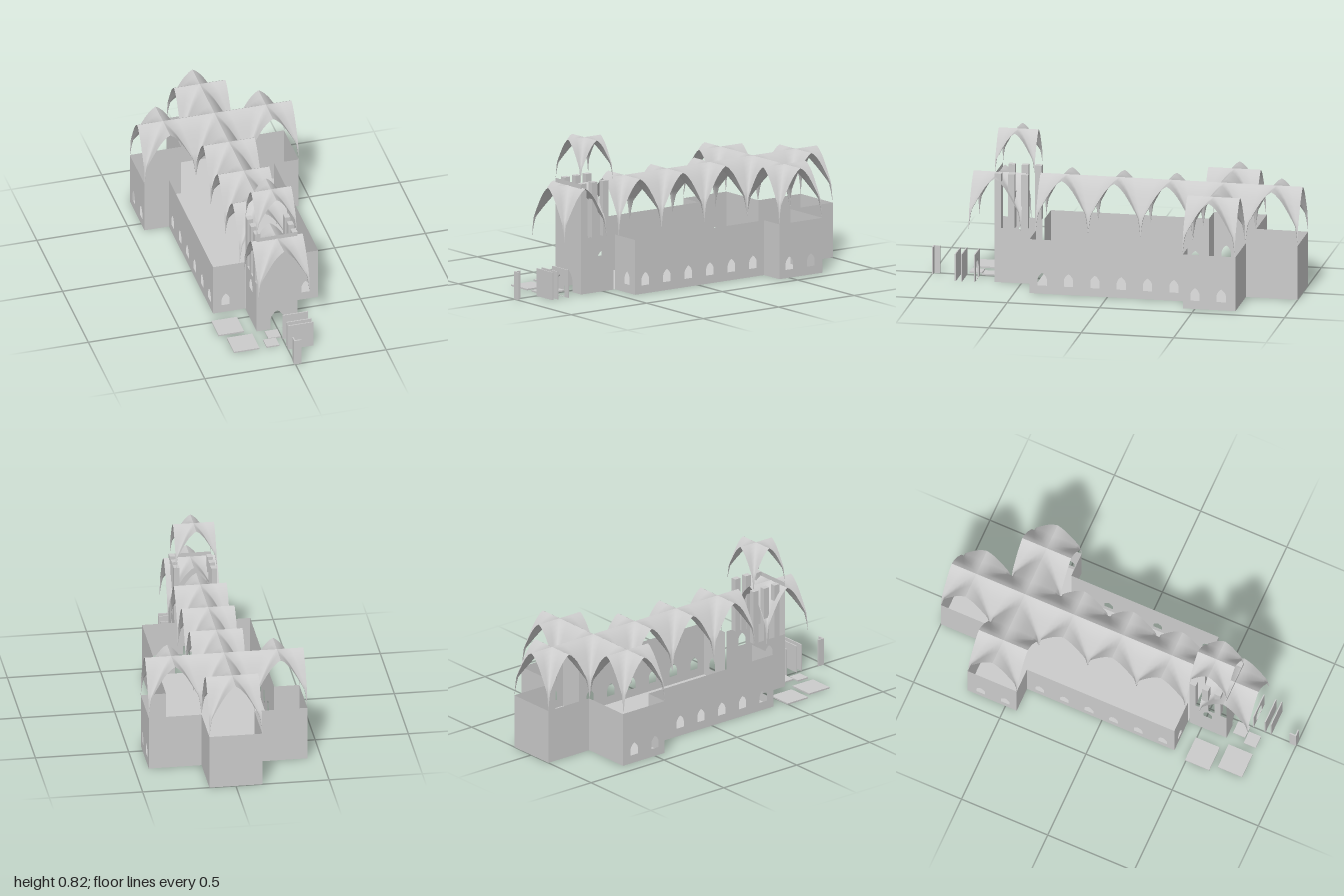
import * as THREE from 'three';

const mat = new THREE.MeshStandardMaterial({ color: 0xcccccc, side: THREE.DoubleSide });

function add(parent, name, geo, x = 0, y = 0, z = 0) {
  const m = new THREE.Mesh(geo, mat);
  m.name = name;
  m.position.set(x, y, z);
  parent.add(m);
  return m;
}

// Pointed arch outline: centre u, sill v, width w, height h
function archPath(u, v, w, h) {
  const p = new THREE.Path(), r = w / 2, s = v + h * 0.5;
  p.moveTo(u - r, v);
  p.lineTo(u + r, v);
  p.lineTo(u + r, s);
  p.quadraticCurveTo(u + r * 0.85, v + h * 0.8, u, v + h);
  p.quadraticCurveTo(u - r * 0.85, v + h * 0.8, u - r, s);
  p.lineTo(u - r, v);
  return p;
}

// Thin upright wall from plan point a to b, holes given as [distance from a, sill, width, height]
function wall(parent, name, a, b, height, holes = []) {
  const dx = b[0] - a[0], dz = b[1] - a[1], len = Math.hypot(dx, dz);
  const s = new THREE.Shape();
  s.moveTo(0, 0).lineTo(len, 0).lineTo(len, height).lineTo(0, height);
  s.holes = holes.map(h => archPath(...h));
  const m = add(parent, name, new THREE.ShapeGeometry(s, 6), a[0], 0, a[1]);
  m.rotation.y = Math.atan2(-dz, dx);
}

// Groin vault: two crossing pointed barrels over a rectangular bay
const PROFILE = [[0, 1], [0.13, 0.96], [0.27, 0.89], [0.4, 0.81], [0.55, 0.69],
  [0.7, 0.56], [0.82, 0.45], [0.9, 0.37], [0.95, 0.22], [1, 0]];

function vaultGeometry(w, h, d) {
  const pos = [], idx = [];
  for (const sx of [-1, 1]) for (const sz of [-1, 1]) {
    // Each quarter springs from one corner: front edge, groin, side edge
    const base = pos.length / 3;
    PROFILE.forEach(([t, y]) => {
      const rows = [[t, 1], [t, (1 + t) / 2], [t, t], [(1 + t) / 2, t], [1, t]];
      rows.forEach(([x, z]) => pos.push(sx * x * w / 2, y * h, sz * z * d / 2));
    });
    for (let i = 0; i < PROFILE.length - 1; i++) for (let j = 0; j < 4; j++) {
      const a = base + i * 5 + j, b = a + 1, c = a + 5, e = a + 6;
      if (sx * sz > 0) idx.push(a, c, b, b, c, e);
      else idx.push(a, b, c, b, e, c);
    }
  }
  const g = new THREE.BufferGeometry();
  g.setAttribute('position', new THREE.Float32BufferAttribute(pos, 3));
  g.setIndex(idx);
  g.computeVertexNormals();
  return g;
}

export function createModel() {
  const root = new THREE.Group();
  root.name = 'church';
  const H = 0.297, BAY = 0.2835;

  // Half plan outline, front to back; mirrored for the other side
  const plan = [[0.113, 0.42], [0.29, 0.42], [0.29, -0.435], [0.425, -0.435],
    [0.425, -0.72], [0.142, -0.72], [0.142, -1]];
  const windows = {
    0: [[0.107, 0.045, 0.044, 0.07]],
    1: [0, 1, 2, 3, 4, 5].map(i => [0.068 + i * 0.1425, 0.045, 0.05, 0.07]),
    3: [[0.066, 0.045, 0.05, 0.07], [0.208, 0.045, 0.05, 0.07]],
  };
  const names = ['aisleFrontWall', 'aisleWall', 'transeptFrontWall', 'transeptEndWall', 'transeptBackWall', 'choirWall'];
  const body = new THREE.Group();
  body.name = 'body';
  root.add(body);
  for (const s of [1, -1]) {
    const p = plan.map(([x, z]) => [s * x, z]);
    names.forEach((n, i) => wall(body, n, p[i], p[i + 1], H, windows[i]));
  }
  wall(body, 'choirBackWall', [-0.142, -1], [0.142, -1], H);

  // Cross-shaped floor
  const outline = [...plan, ...plan.map(([x, z]) => [-x, z]).reverse()];
  const floorShape = new THREE.Shape(outline.map(([x, z]) => new THREE.Vector2(x, -z)));
  add(body, 'floor', new THREE.ShapeGeometry(floorShape)).rotation.x = -Math.PI / 2;

  // Vault bays over nave, choir, crossing and transepts
  const vaults = new THREE.Group();
  vaults.name = 'vaults';
  root.add(vaults);
  const bay = vaultGeometry(BAY, 0.288, BAY);
  for (let i = 0; i < 5; i++) add(vaults, 'naveVault', bay, 0, 0.295, -1 + BAY * (i + 0.5));
  for (const s of [1, -1]) add(vaults, 'transeptVault', bay, s * BAY, 0.295, -1 + BAY * 1.5);
  add(vaults, 'porchVault', bay, 0, 0.288, 0.638);
  add(vaults, 'towerVault', vaultGeometry(0.22, 0.225, 0.215), -0.003, 0.595, 0.537);

  // Tower with doorway, side windows and slatted belfry
  const tower = new THREE.Group();
  tower.name = 'tower';
  root.add(tower);
  wall(tower, 'towerFront', [-0.113, 0.645], [0.113, 0.645], 0.595, [[0.113, 0.001, 0.075, 0.115]]);
  for (const s of [1, -1]) {
    wall(tower, 'towerSide', [s * 0.113, 0.645], [s * 0.113, 0.43], 0.3, [[0.11, 0.195, 0.05, 0.07]]);
    for (let i = 0; i < 3; i++) {
      const z = (s > 0 ? 0.627 : 0.591) - i * 0.072;
      add(tower, 'belfrySlat', new THREE.BoxGeometry(0.03, 0.297, 0.036), s * 0.098, 0.4485, z);
    }
  }
  [[0.552, 0.2], [0.515, 0.13]].forEach(([z, h]) =>
    add(tower, 'shortSlat', new THREE.BoxGeometry(0.02, h, 0.034), 0.08, 0.3 + h / 2, z));

  // Loose ground plates beside the porch
  const yard = new THREE.Group();
  yard.name = 'yard';
  root.add(yard);
  for (const [x, z, w] of [[-0.25, 0.565, 0.14], [-0.215, 0.74, 0.14], [-0.07, 0.775, 0.07], [-0.04, 0.7, 0.07]])
    add(yard, 'groundPlate', new THREE.BoxGeometry(w, 0.008, w), x, 0.004, z);

  // Upright panels, the rear one with an arched doorway
  for (const z of [0.818, 0.852])
    add(yard, 'panel', new THREE.BoxGeometry(0.14, 0.15, 0.006), 0.07, 0.075, z);
  const door = new THREE.Shape();
  door.moveTo(0, 0).lineTo(0.14, 0).lineTo(0.14, 0.15).lineTo(0, 0.15);
  door.holes = [archPath(0.07, 0.002, 0.075, 0.115)];
  add(yard, 'archPanel', new THREE.ExtrudeGeometry(door, { depth: 0.006, bevelEnabled: false, curveSegments: 6 }), 0, 0, 0.746);

  // L-shaped corner post
  add(yard, 'postLeg', new THREE.BoxGeometry(0.007, 0.15, 0.038), -0.0035, 0.075, 0.981);
  add(yard, 'postLeg', new THREE.BoxGeometry(0.04, 0.15, 0.007), 0.013, 0.075, 0.9965);
  return root;
}
